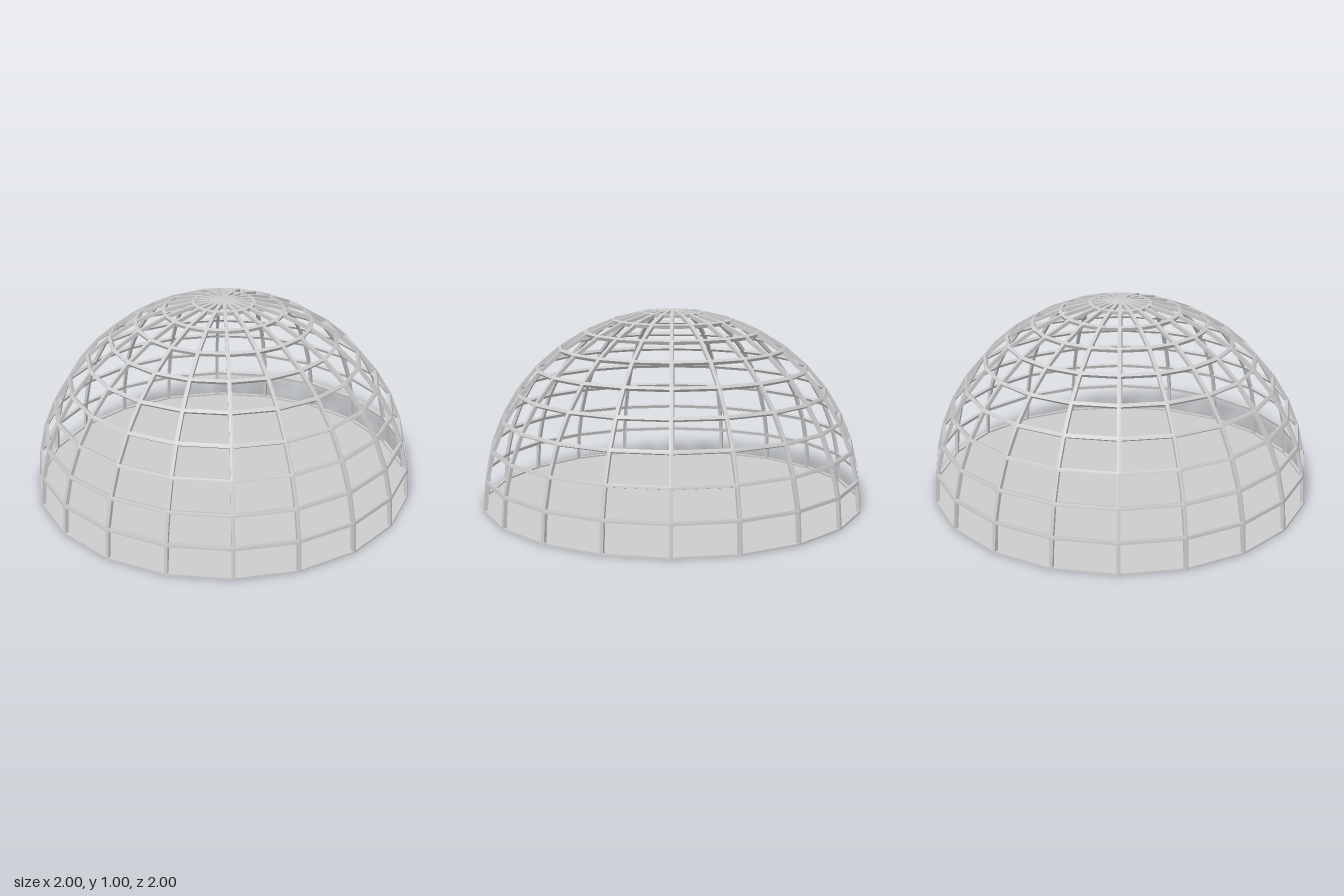
import * as THREE from 'three';

const SIDES = 20;        // meridian struts
const ROWS = 10;         // rows of openings from rim to apex
const HALF_STRUT = 0.009; // half of a strut's width
const DEPTH = 0.018;     // strut depth towards the centre

// Point on the unit dome
function domePoint(side, row) {
  const a = (side / SIDES) * Math.PI * 2;
  const b = (row / ROWS) * Math.PI / 2;
  return new THREE.Vector3(Math.sin(a) * Math.cos(b), Math.sin(b), Math.cos(a) * Math.cos(b));
}

// Corners of the opening: each panel corner moved in by half a strut
function insetCorners(corners) {
  const n = corners.length;
  return corners.map((p, i) => {
    const next = corners[(i + 1) % n].clone().sub(p).normalize();
    const prev = corners[(i + n - 1) % n].clone().sub(p).normalize();
    const s = HALF_STRUT / Math.sin(next.angleTo(prev));
    return p.clone().addScaledVector(next.add(prev), s);
  });
}

// Frame around one opening: outer face, inner face and the walls of the hole
function addFrame(positions, corners) {
  const quad = (a, b, c, d) => [a, b, c, a, c, d].forEach((v) => positions.push(v.x, v.y, v.z));
  const inward = (v) => v.clone().multiplyScalar(1 - DEPTH);
  const hole = insetCorners(corners);
  corners.forEach((p, i) => {
    const j = (i + 1) % corners.length;
    const q = corners[j];
    const hp = hole[i];
    const hq = hole[j];
    quad(p, q, hq, hp);
    quad(inward(q), inward(p), inward(hp), inward(hq));
    quad(hp, hq, inward(hq), inward(hp));
  });
}

function latticeGeometry() {
  const positions = [];
  for (let row = 0; row < ROWS; row++) {
    for (let side = 0; side < SIDES; side++) {
      const corners = [domePoint(side, row), domePoint(side + 1, row)];
      if (row === ROWS - 1) corners.push(new THREE.Vector3(0, 1, 0));
      else corners.push(domePoint(side + 1, row + 1), domePoint(side, row + 1));
      addFrame(positions, corners);
    }
  }
  const geometry = new THREE.BufferGeometry();
  geometry.setAttribute('position', new THREE.Float32BufferAttribute(positions, 3));
  geometry.computeVertexNormals();
  return geometry;
}

export function createModel() {
  const model = new THREE.Group();
  model.name = 'latticeDome';
  const material = new THREE.MeshStandardMaterial({ color: 0xcccccc, flatShading: true });

  // Dome of rings and meridians
  const lattice = new THREE.Mesh(latticeGeometry(), material);
  lattice.name = 'domeLattice';
  model.add(lattice);

  // Solid floor closing the rim
  const floorMaterial = material.clone();
  floorMaterial.side = THREE.DoubleSide;
  const floor = new THREE.Mesh(new THREE.CircleGeometry(1, SIDES), floorMaterial);
  floor.name = 'floor';
  floor.rotation.x = -Math.PI / 2;
  model.add(floor);

  return model;
}
